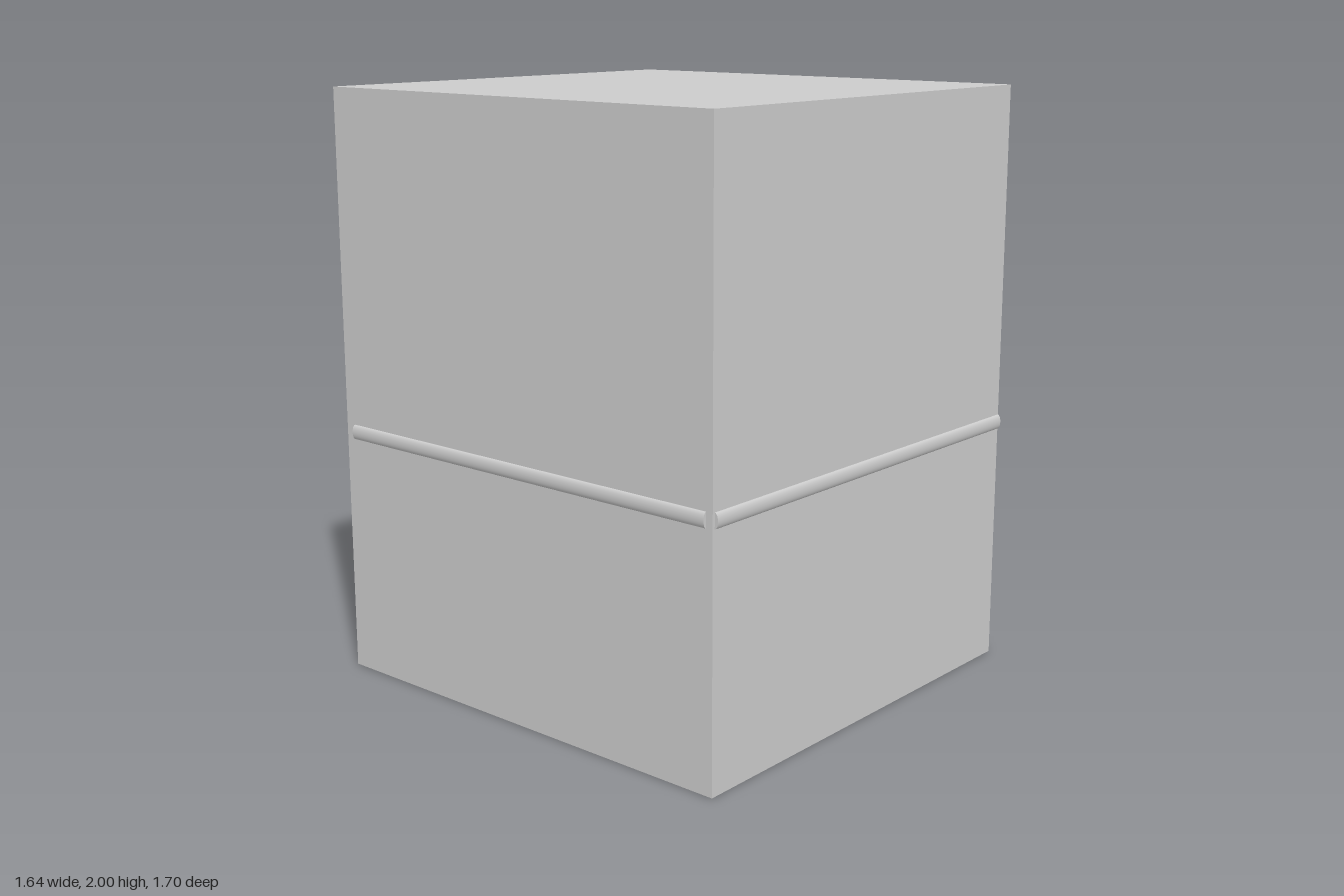
import * as THREE from 'three';

const material = new THREE.MeshStandardMaterial({ color: 0xcccccc });

// Box given by its minimum and maximum corners
function box(name, [x0, y0, z0], [x1, y1, z1]) {
  const geometry = new THREE.BoxGeometry(x1 - x0, y1 - y0, z1 - z0);
  geometry.translate((x0 + x1) / 2, (y0 + y1) / 2, (z0 + z1) / 2);
  const mesh = new THREE.Mesh(geometry, material);
  mesh.name = name;
  return mesh;
}

// Rail lying along z, flattened so that it projects only a little from its wall
function rail(name, length, x, z, angle = 0) {
  const geometry = new THREE.CylinderGeometry(0.025, 0.025, length, 24);
  geometry.rotateX(Math.PI / 2).scale(0.48, 1, 1);
  const mesh = new THREE.Mesh(geometry, material);
  mesh.name = name;
  mesh.position.set(x, 0.847, z);
  mesh.rotation.y = angle;
  return mesh;
}

// Thin horizontal plate at floor level from [x, z] corners
function plate(name, corners) {
  const shape = new THREE.Shape(corners.map(([x, z]) => new THREE.Vector2(x, z)));
  const depth = 0.003;
  const geometry = new THREE.ExtrudeGeometry(shape, { depth, bevelEnabled: false });
  geometry.rotateX(Math.PI / 2).translate(0, depth, 0);
  const mesh = new THREE.Mesh(geometry, material);
  mesh.name = name;
  return mesh;
}

export function createModel() {
  const group = new THREE.Group();
  group.name = 'liftCabin';

  // Cabin
  group.add(box('cabin', [-0.808, 0.003, -0.704], [0.805, 2, 0.837]));

  // Handrails on the two sides and the front
  group.add(
    rail('leftRail', 1.53, 0.805, 0.063),
    rail('rightRail', 1.53, -0.808, 0.063),
    rail('frontRail', 1.55, 0.006, 0.837, Math.PI / 2),
  );

  // Doorway at the back, with its slightly skewed sill
  group.add(
    box('door', [-0.443, 0.002, -0.768], [0.45, 1.75, -0.69]),
    plate('doorSill', [[-0.442, -0.853], [0.457, -0.853], [0.447, -0.69], [-0.452, -0.69]]),
  );

  // Low hatch on one side
  group.add(
    box('hatch', [-0.82, 0.002, -0.495], [-0.8, 0.14, -0.14]),
    plate('hatchSill', [[-0.82, -0.495], [-0.743, -0.495], [-0.743, -0.14], [-0.82, -0.14]]),
  );

  return group;
}
